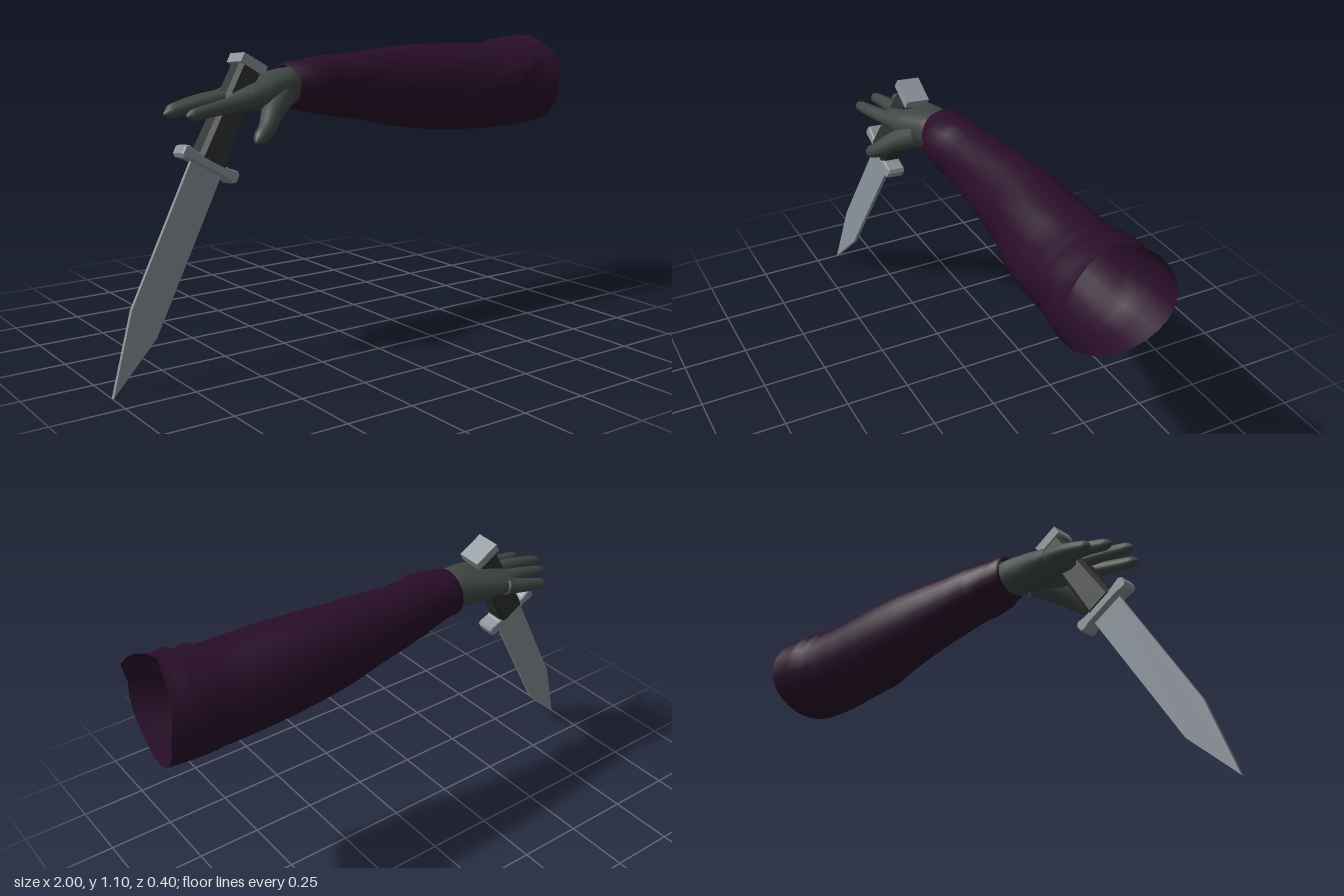
import * as THREE from 'three';

const mat = (name, color, side = THREE.FrontSide) => {
  const m = new THREE.MeshStandardMaterial({ color, side });
  m.name = name;
  return m;
};

// Skin a list of rings (arrays of Vector3, counter-clockwise about the travel direction)
function loft(rings, capStart, capEnd) {
  const n = rings[0].length, pos = [], idx = [];
  const push = v => pos.push(v.x, v.y, v.z) / 3 - 1;
  rings.forEach(r => r.forEach(push));
  for (let i = 0; i < rings.length - 1; i++) {
    for (let j = 0; j < n; j++) {
      const k = (j + 1) % n, a = i * n + j, b = i * n + k;
      idx.push(a, b, a + n, b, b + n, a + n);
    }
  }
  const cap = (ring, base, flip) => {
    const c = push(ring.reduce((s, v) => s.add(v), new THREE.Vector3()).divideScalar(n));
    for (let j = 0; j < n; j++) {
      const a = base + j, b = base + (j + 1) % n;
      idx.push(c, flip ? b : a, flip ? a : b);
    }
  };
  if (capStart) cap(rings[0], 0, true);
  if (capEnd) cap(rings[rings.length - 1], (rings.length - 1) * n, false);
  const g = new THREE.BufferGeometry();
  g.setAttribute('position', new THREE.Float32BufferAttribute(pos, 3));
  g.setIndex(idx);
  g.computeVertexNormals();
  return g;
}

// Oval ring in the yz plane from [x, top, bottom, back, front]
function oval([x, top, bottom, back, front], n, power = 1) {
  return Array.from({ length: n }, (_, j) => {
    const t = j / n * Math.PI * 2;
    const round = v => Math.sign(v) * Math.abs(v) ** power;
    return new THREE.Vector3(x,
      (top + bottom) / 2 + (top - bottom) / 2 * round(Math.cos(t)),
      (back + front) / 2 + (front - back) / 2 * round(Math.sin(t)));
  });
}

// Tapered finger with a rounded tip along a few points
function finger(points, r0, r1) {
  const curve = new THREE.CatmullRomCurve3(points.map(p => new THREE.Vector3(...p)));
  const steps = 16, n = 12, f = curve.computeFrenetFrames(steps);
  const rings = [];
  for (let i = 0; i <= steps; i++) {
    const t = i / steps, c = curve.getPointAt(t);
    const tip = Math.sqrt(1 - Math.max(0, (t - 0.86) / 0.145) ** 2);
    const r = (r0 + (r1 - r0) * t) * tip;
    rings.push(Array.from({ length: n }, (_, j) => {
      const a = j / n * Math.PI * 2;
      return c.clone().addScaledVector(f.normals[i], r * Math.cos(a))
        .addScaledVector(f.binormals[i], r * Math.sin(a));
    }));
  }
  return loft(rings, true, true);
}

export function createModel() {
  const model = new THREE.Group();
  const cloth = mat('plum cloth', 0x290e29, THREE.DoubleSide);
  const glove = mat('grey glove', 0x404745);
  const grip = mat('dark grip', 0x2e3231);
  const steel = mat('blade steel', 0x879198);
  const fitting = mat('fitting steel', 0x8b939a);
  const add = (parent, name, geometry, material) => {
    const m = new THREE.Mesh(geometry, material);
    m.name = name;
    parent.add(m);
    return m;
  };

  // Sleeve: cuff, folds, widening forearm and a ragged open end
  const stations = [
    [-0.225, 1.03, 0.885, -0.095, 0.055], [-0.22, 1.043, 0.872, -0.11, 0.065],
    [-0.17, 1.048, 0.868, -0.112, 0.078], [-0.155, 1.05, 0.862, -0.115, 0.09],
    [-0.08, 1.06, 0.845, -0.125, 0.092], [-0.06, 1.06, 0.84, -0.13, 0.078],
    [0.03, 1.06, 0.825, -0.14, 0.077], [0.15, 1.07, 0.803, -0.153, 0.08],
    [0.28, 1.08, 0.773, -0.168, 0.088], [0.4, 1.085, 0.755, -0.175, 0.105],
    [0.52, 1.083, 0.74, -0.18, 0.13], [0.65, 1.08, 0.735, -0.184, 0.145],
    [0.76, 1.078, 0.735, -0.188, 0.157], [0.79, 1.095, 0.737, -0.192, 0.16],
    [0.82, 1.082, 0.737, -0.195, 0.165], [0.86, 1.102, 0.738, -0.203, 0.17],
    [0.9, 1.092, 0.742, -0.205, 0.178], [0.96, 1.105, 0.75, -0.207, 0.187]];
  const n = 24;
  const sleeve = stations.map(s => oval(s, n));
  // Soft diagonal creases on the forearm
  sleeve.forEach(ring => ring.forEach((p, j) => {
    if (p.x > 0 && p.x < 0.9) p.z -= 0.005 * Math.sin(p.x * 16 + j * 1.05) * Math.max(0, p.z / 0.1);
  }));
  // Rim x positions around the open end, from the top towards the front
  const rim = [0.925, 0.95, 0.975, 0.95, 0.96, 0.965, 0.98, 0.99, 1, 1, 0.975, 0.95];
  sleeve[sleeve.length - 1].forEach((p, j) => {
    const k = j >> 1;
    p.x = j % 2 ? (rim[k] + rim[(k + 1) % rim.length]) / 2 : rim[k];
  });
  add(model, 'sleeve', loft(sleeve, false, false), cloth);
  const lining = new THREE.CircleGeometry(1, 24);
  lining.scale(0.085, 0.072, 1).rotateY(Math.PI / 2).translate(-0.165, 0.96, -0.013);
  add(model, 'sleeveLining', lining, cloth);

  // Hand: flattened palm, four fingers and a thumb
  const hand = new THREE.Group();
  hand.name = 'hand';
  model.add(hand);
  const palm = [
    [-0.515, 0.945, 0.9, -0.075, 0.1], [-0.49, 0.96, 0.888, -0.1, 0.118],
    [-0.43, 0.98, 0.885, -0.102, 0.122], [-0.37, 0.998, 0.882, -0.1, 0.115],
    [-0.31, 1.013, 0.882, -0.093, 0.097], [-0.25, 1.022, 0.89, -0.088, 0.073],
    [-0.17, 1.028, 0.892, -0.086, 0.06]];
  add(hand, 'palm', loft(palm.map(s => oval(s, 20, 0.85)), true, true), glove);
  const fingers = {
    littleFinger: [[-0.45, 0.925, -0.075], [-0.55, 0.905, -0.088], [-0.645, 0.88, -0.09]],
    ringFinger: [[-0.45, 0.935, -0.025], [-0.58, 0.92, -0.033], [-0.695, 0.895, -0.03]],
    middleFinger: [[-0.45, 0.938, 0.035], [-0.6, 0.922, 0.042], [-0.735, 0.897, 0.042]],
    indexFinger: [[-0.44, 0.93, 0.09], [-0.57, 0.912, 0.112], [-0.695, 0.895, 0.127]]
  };
  for (const [name, pts] of Object.entries(fingers)) {
    add(hand, name, finger(pts, 0.031, 0.02), glove);
  }
  add(hand, 'thumb', finger([[-0.28, 0.935, 0.04], [-0.36, 0.88, 0.11],
    [-0.41, 0.835, 0.155], [-0.47, 0.797, 0.185]], 0.052, 0.022), glove);

  // Dagger, built around its guard with +y towards the pommel
  const dagger = new THREE.Group();
  dagger.name = 'dagger';
  model.add(dagger);
  const up = new THREE.Vector3(0.503, 0.864, -0.11).normalize();
  const side = new THREE.Vector3(0.864, -0.503, 0).normalize();
  const out = new THREE.Vector3().crossVectors(side, up);
  dagger.quaternion.setFromRotationMatrix(new THREE.Matrix4().makeBasis(side, up, out));
  dagger.position.set(-0.59, 0.72, 0.06);

  const outline = new THREE.Shape([[-0.063, 0], [-0.056, -0.545], [0.005, -0.826],
    [0.07, -0.597], [0.066, 0]].map(p => new THREE.Vector2(...p)));
  const blade = new THREE.ExtrudeGeometry(outline, { depth: 0.014, bevelEnabled: false });
  blade.translate(0, 0, -0.007);
  add(dagger, 'blade', blade, steel);

  // Guard: bar with slightly flared, blunted ends
  const bar = new THREE.Shape([[-0.115, -0.012], [-0.105, -0.02], [-0.07, -0.014], [0.07, -0.014],
    [0.105, -0.02], [0.115, -0.012], [0.115, 0.012], [0.105, 0.02], [0.07, 0.014],
    [-0.07, 0.014], [-0.105, 0.02], [-0.115, 0.012]].map(p => new THREE.Vector2(...p)));
  const guard = new THREE.ExtrudeGeometry(bar, {
    depth: 0.06, bevelThickness: 0.005, bevelSize: 0.003, bevelSegments: 1 });
  guard.translate(0, 0, -0.03);
  add(dagger, 'guard', guard, fitting);

  // Grip: eight-sided, narrowing towards the pommel
  const gripSection = (y, w, d) => {
    const c = 0.014;
    return [[w, d - c], [w - c, d], [c - w, d], [-w, d - c], [-w, c - d], [c - w, -d], [w - c, -d], [w, c - d]]
      .map(([x, z]) => new THREE.Vector3(x, y, z)).reverse();
  };
  const handle = loft([gripSection(0.01, 0.057, 0.043), gripSection(0.12, 0.053, 0.041),
    gripSection(0.37, 0.045, 0.037)], true, true).toNonIndexed();
  handle.computeVertexNormals();
  add(dagger, 'handle', handle, grip);
  add(dagger, 'pommel', new THREE.BoxGeometry(0.106, 0.035, 0.09), fitting).position.y = 0.377;

  return model;
}
